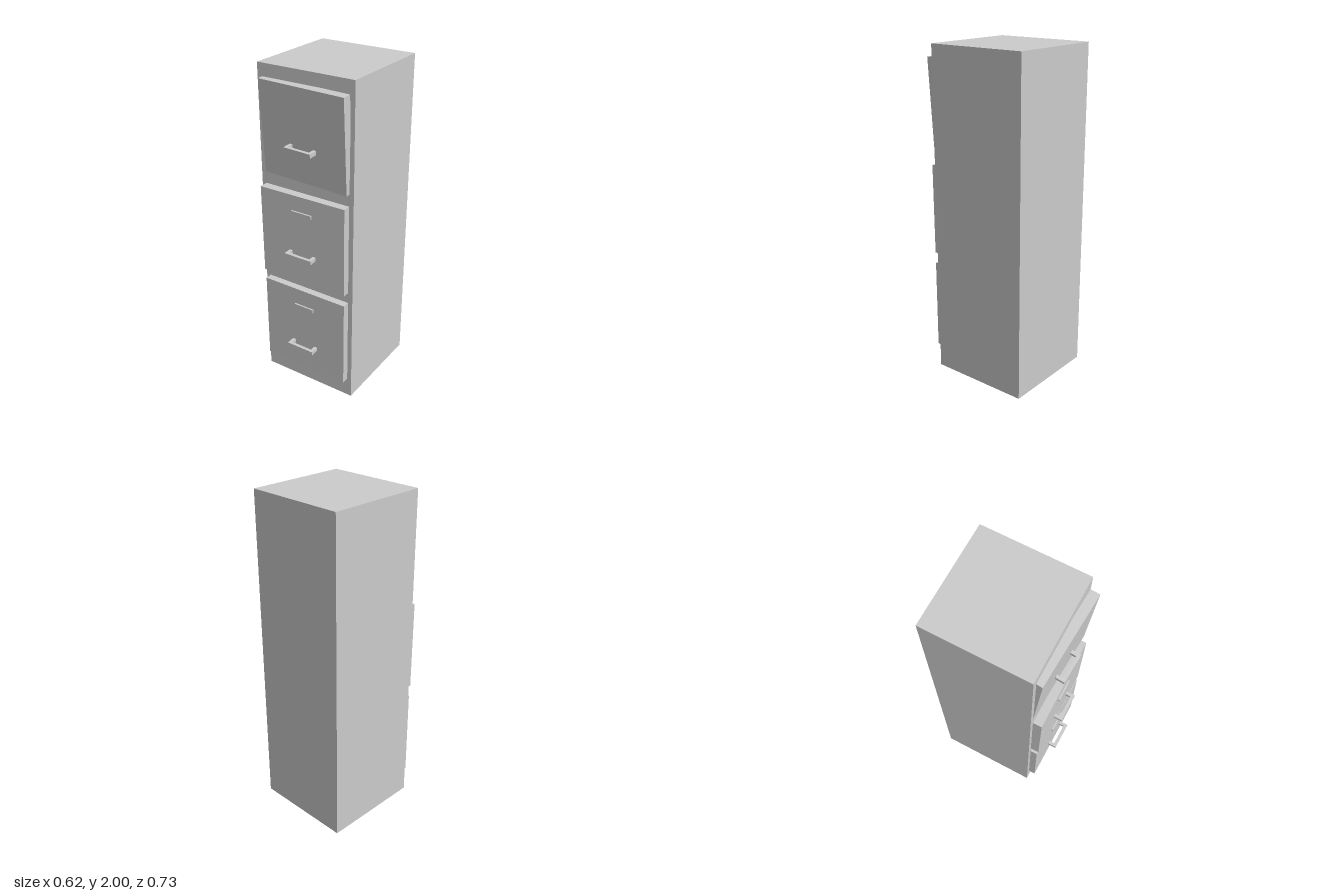
import * as THREE from 'three';

const material = new THREE.MeshStandardMaterial({ color: 0xcccccc, flatShading: true });

function box(name, w, h, d, x, y, z) {
  const mesh = new THREE.Mesh(new THREE.BoxGeometry(w, h, d), material);
  mesh.name = name;
  mesh.position.set(x, y, z);
  return mesh;
}

// U-shaped pull: two posts joined by a bar, seen from above and extruded upward
function handle(reach) {
  const w = 0.09, t = 0.02, height = 0.024;
  const outline = [[-w, 0], [-w, reach], [w, reach], [w, 0],
    [w - t, 0], [w - t, reach - t], [t - w, reach - t], [t - w, 0]];
  const shape = new THREE.Shape(outline.map(([x, z]) => new THREE.Vector2(x, z)));
  const geometry = new THREE.ExtrudeGeometry(shape, { depth: height, bevelEnabled: false });
  geometry.rotateX(Math.PI / 2).translate(0, height / 2, 0);
  const mesh = new THREE.Mesh(geometry, material);
  mesh.name = 'handle';
  return mesh;
}

// Drawer origin lies at the centre of its front face
function drawer({ name, y, front, height, tiltX, tiltY, handleY, reach, labelY }) {
  const group = new THREE.Group();
  group.name = name;
  const depth = 0.054;
  group.add(box('drawerFront', 0.563, height, depth, 0, 0, -depth / 2));
  const pull = handle(reach);
  pull.position.y = handleY;
  group.add(pull);
  if (labelY !== undefined) group.add(box('labelHolder', 0.132, 0.023, 0.02, 0, labelY, 0));
  group.position.set(0, y, front);
  group.rotation.set(tiltX, tiltY, 0);
  return group;
}

export function createModel() {
  const model = new THREE.Group();
  model.name = 'filingCabinet';
  model.add(box('cabinetBody', 0.62, 2, 0.623, 0, 1, -0.0515));

  // The top drawer sits crooked; the lower two are nearly straight
  const drawers = [
    { name: 'topDrawer', y: 1.646, front: 0.291, height: 0.553, tiltX: 0.063, tiltY: -0.048, handleY: -0.07, reach: 0.055 },
    { name: 'middleDrawer', y: 1.022, front: 0.31, height: 0.552, tiltX: 0.006, tiltY: 0.01, handleY: -0.092, reach: 0.053, labelY: 0.17 },
    { name: 'bottomDrawer', y: 0.4, front: 0.304, height: 0.556, tiltX: 0, tiltY: -0.004, handleY: -0.108, reach: 0.055, labelY: 0.163 },
  ];
  drawers.forEach((d) => model.add(drawer(d)));
  return model;
}
